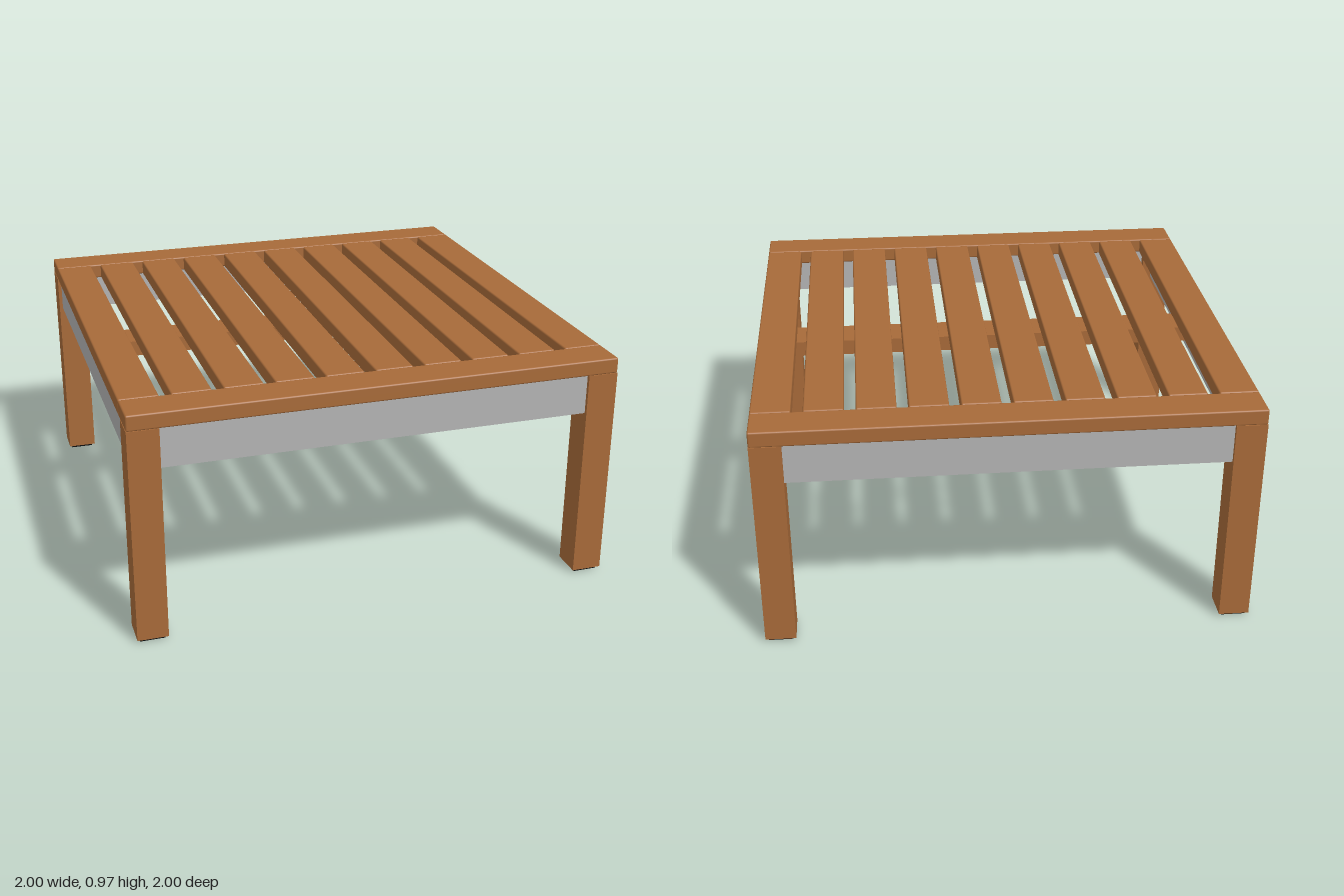
import * as THREE from 'three';
import { RoundedBoxGeometry } from 'three/addons/geometries/RoundedBoxGeometry.js';

export function createModel() {
  const table = new THREE.Group();
  table.name = 'slattedTable';

  const material = (name, color) => {
    const m = new THREE.MeshStandardMaterial({ color });
    m.name = name;
    return m;
  };
  const wood = material('warm wood', 0xa76a39);
  const grey = material('grey metal', 0xb3b3b3);
  const black = material('black rubber', 0x0c0c0c);

  const add = (name, geometry, mat, x, y, z) => {
    const mesh = new THREE.Mesh(geometry, mat);
    mesh.name = name;
    mesh.position.set(x, y, z);
    table.add(mesh);
  };
  const box = (w, h, d) => new THREE.BoxGeometry(w, h, d);
  const board = (w, h, d) => new RoundedBoxGeometry(w, h, d, 2, 0.007);

  const topY = 0.97, boardH = 0.065, underY = topY - boardH;
  const boardY = topY - boardH / 2;

  // Top: two end boards with ten slats running between them
  for (const s of [-1, 1]) add('endBoard', board(2, boardH, 0.158), wood, 0, boardY, s * 0.921);
  const slat = board(0.158, boardH, 1.68);
  for (let i = 0; i < 10; i++) {
    add('slat', slat, wood, -0.921 + (i * 1.842) / 9, boardY, 0);
  }

  // Cross rail under the middle of the slats
  add('crossRail', box(1.84, boardH, 0.155), wood, 0, underY - boardH / 2, 0);

  // Legs with small foot pads
  const legW = 0.125, footH = 0.012;
  const leg = box(legW, underY - footH, legW);
  const foot = box(0.1, footH, 0.1);
  for (const x of [-1, 1]) {
    for (const z of [-1, 1]) {
      const c = 1 - legW / 2;
      add('leg', leg, wood, x * c, (underY + footH) / 2, z * c);
      add('footPad', foot, black, x * c, footH / 2, z * c);
    }
  }

  // Aprons between the legs: front and back are slightly deeper than the sides
  const span = 2 - legW * 2, thick = 0.07, inset = 0.95;
  const apronTop = 0.903, longH = 0.165, sideH = 0.147;
  for (const s of [-1, 1]) {
    add('longApron', box(span, longH, thick), grey, 0, apronTop - longH / 2, s * inset);
    add('sideApron', box(thick, sideH, span), grey, s * inset, apronTop - sideH / 2, 0);
  }

  return table;
}
